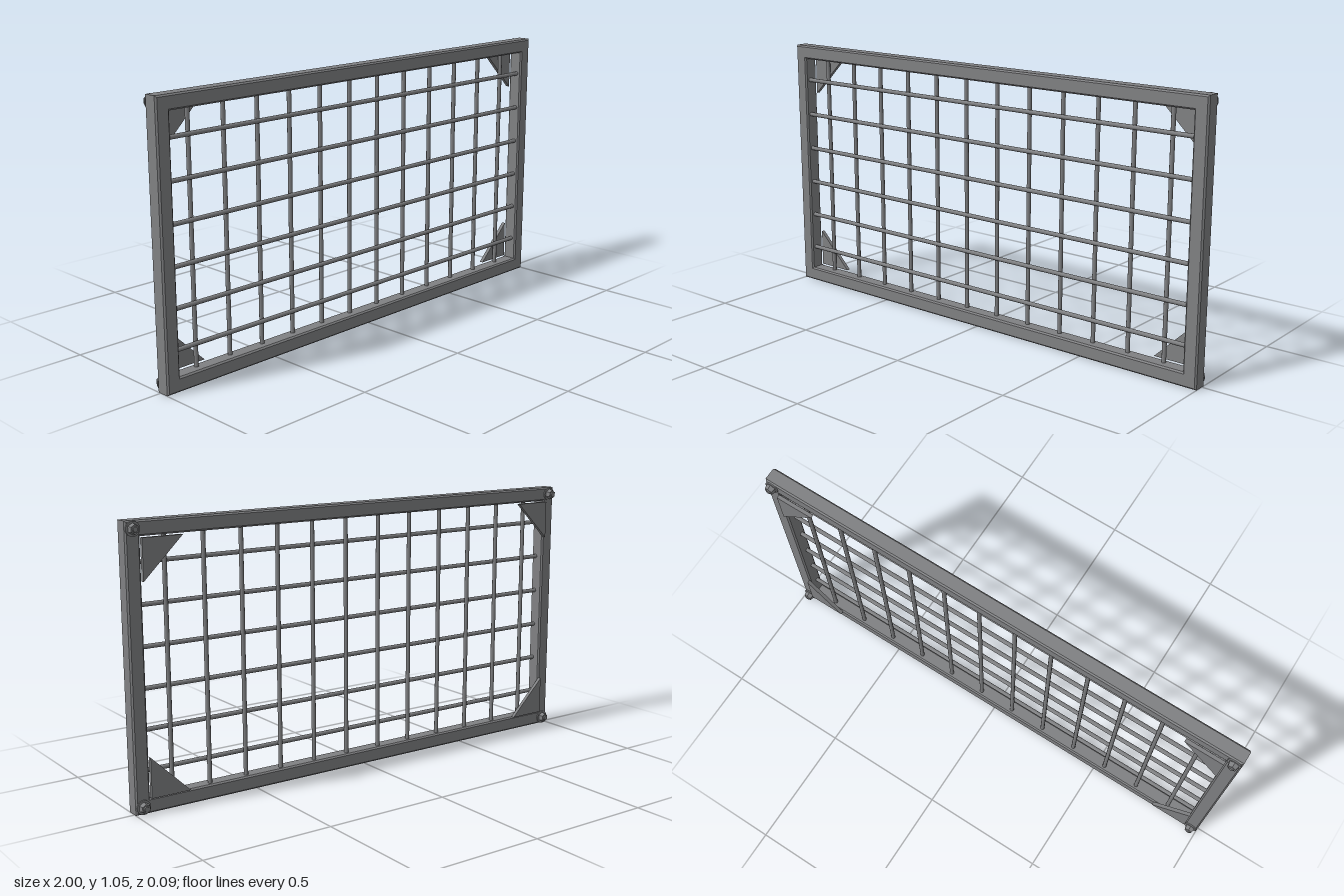
import * as THREE from 'three';

const steel = new THREE.MeshStandardMaterial({ color: 0x808183 });
steel.name = 'grey steel';

const H = 1.048, MID = H / 2;
const FRONT = 0.043, BACK = -0.017, BAR = 0.056, BEVEL = 0.006;

function add(parent, name, geometry, x = 0, y = 0, z = 0) {
  const mesh = new THREE.Mesh(geometry, steel);
  mesh.name = name;
  mesh.position.set(x, y, z);
  parent.add(mesh);
  return mesh;
}

// Closed rectangle centred on the panel, given its half sizes
function rectangle(PathType, w, h) {
  const p = new PathType();
  p.moveTo(-w, -h);
  p.lineTo(w, -h);
  p.lineTo(w, h);
  p.lineTo(-w, h);
  p.closePath();
  return p;
}

export function createModel() {
  const model = new THREE.Group();
  model.name = 'gridPanel';

  // Bevelled outer frame
  const outline = rectangle(THREE.Shape, 1 - BEVEL, MID - BEVEL);
  outline.holes.push(rectangle(THREE.Path, 1 - BAR + BEVEL, MID - BAR + BEVEL));
  const frame = new THREE.ExtrudeGeometry(outline, {
    depth: FRONT - BACK - 2 * BEVEL, bevelEnabled: true,
    bevelSize: BEVEL, bevelThickness: BEVEL, bevelSegments: 1,
  });
  add(model, 'frame', frame, 0, MID, BACK + BEVEL);

  // Wire mesh: horizontal rods in front of vertical rods
  const wires = new THREE.Group();
  wires.name = 'wireGrid';
  model.add(wires);
  const longRod = new THREE.CylinderGeometry(0.0085, 0.0085, 1.9, 10).rotateZ(Math.PI / 2);
  const shortRod = new THREE.CylinderGeometry(0.0085, 0.0085, H - 0.1, 10);
  for (let i = 0; i < 6; i++) add(wires, 'horizontalRod', longRod, 0, MID + (i - 2.5) * 0.15, 0.021);
  for (let i = 0; i < 12; i++) add(wires, 'verticalRod', shortRod, (i - 5.5) * 0.1537, MID, 0.005);

  // Corner gussets and bolts on the back
  const washer = new THREE.CylinderGeometry(0.027, 0.027, 0.005, 20).rotateX(Math.PI / 2);
  const head = new THREE.CylinderGeometry(0.021, 0.017, 0.018, 6).rotateX(Math.PI / 2).toNonIndexed();
  head.computeVertexNormals();
  const tip = new THREE.CylinderGeometry(0.011, 0.009, 0.005, 12).rotateX(Math.PI / 2);
  for (const sx of [-1, 1]) for (const sy of [-1, 1]) {
    const corner = new THREE.Group();
    corner.name = 'corner';
    model.add(corner);

    const cx = sx * 0.945, cy = sy * 0.465;
    const triangle = new THREE.Shape();
    triangle.moveTo(cx, cy);
    triangle.lineTo(cx - sx * 0.155, cy);
    triangle.lineTo(cx, cy - sy * 0.152);
    triangle.closePath();
    const plate = new THREE.ExtrudeGeometry(triangle, { depth: 0.015, bevelEnabled: false });
    add(corner, 'gusset', plate, 0, MID, -0.033);

    const bx = sx * 0.972, by = MID + sy * (MID - 0.028);
    add(corner, 'washer', washer, bx, by, -0.0195);
    add(corner, 'boltHead', head, bx, by, -0.031);
    add(corner, 'boltTip', tip, bx, by, -0.0415);
  }
  return model;
}
